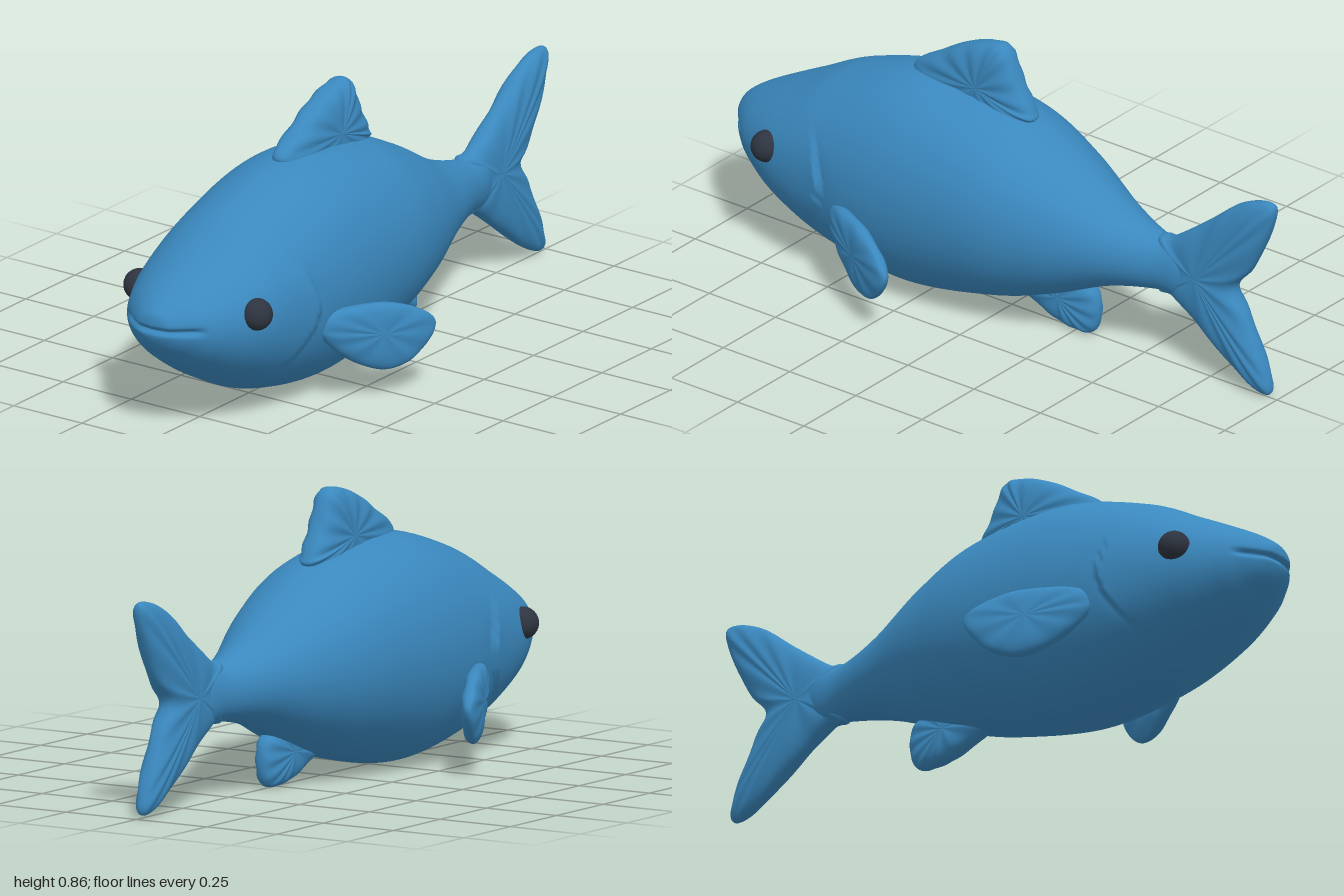
import * as THREE from 'three';

const skin = new THREE.MeshStandardMaterial({ color: 0x3a88be });
skin.name = 'blue skin';
const dark = new THREE.MeshStandardMaterial({ color: 0x2e3440 });
dark.name = 'dark eye';

// Closed smooth surface from rings; pointAt(u, v) with v running around each ring.
function ringSurface(rings, sides, pointAt) {
  const pos = [], index = [];
  for (let i = 0; i <= rings; i++) {
    for (let j = 0; j < sides; j++) {
      pos.push(...pointAt(i / rings, j / sides));
      if (i === rings) continue;
      const k = (j + 1) % sides;
      const a = i * sides + j, b = i * sides + k;
      index.push(a, a + sides, b, b, a + sides, b + sides);
    }
  }
  const geo = new THREE.BufferGeometry();
  geo.setAttribute('position', new THREE.Float32BufferAttribute(pos, 3));
  geo.setIndex(index);
  geo.computeVertexNormals();
  return geo;
}

function addMesh(group, name, geo, mat) {
  const mesh = new THREE.Mesh(geo, mat);
  mesh.name = name;
  group.add(mesh);
  return mesh;
}

// Body stations from snout to tail root: z, top, bottom, half width
const stations = [
  [1, 0.362, 0.345, 0], [0.992, 0.395, 0.315, 0.05], [0.97, 0.418, 0.28, 0.085],
  [0.93, 0.445, 0.245, 0.13], [0.87, 0.478, 0.195, 0.177], [0.75, 0.54, 0.12, 0.232],
  [0.57, 0.63, 0.04, 0.264], [0.3, 0.697, 0, 0.286], [0, 0.665, 0.05, 0.268],
  [-0.2, 0.582, 0.115, 0.217], [-0.4, 0.468, 0.2, 0.133], [-0.56, 0.415, 0.236, 0.072],
  [-0.66, 0.415, 0.24, 0.048], [-0.76, 0.35, 0.31, 0],
];

function bodyGeometry() {
  const spline = (f) => new THREE.CatmullRomCurve3(
    stations.map(f), false, 'catmullrom', 0.5);
  const heights = spline(([z, top, low]) => new THREE.Vector3(z, top, low));
  const widths = spline((s) => new THREE.Vector3(s[3], 0, 0));
  return ringSurface(260, 96, (u, v) => {
    const h = heights.getPoint(u), w = Math.max(widths.getPoint(u).x, 0);
    const a = v * Math.PI * 2;
    let x = w * Math.cos(a), z = h.x;
    const y = (h.y + h.z) / 2 + (h.y - h.z) / 2 * Math.sin(a);
    // gill cover: raised towards its curved rear edge, then a crease
    const d = z - (0.52 + 3 * (y - 0.34) ** 2);
    const fade = Math.exp(-(((y - 0.32) / 0.14) ** 4));
    const lift = d > 0 ? 0.013 * Math.exp(-d / 0.08) : -0.007 * Math.exp(d / 0.025);
    x += Math.sign(Math.cos(a)) * lift * fade * Math.abs(Math.cos(a));
    // mouth crease across the snout
    const mouth = Math.exp(-(((y - 0.348) / 0.009) ** 2))
      * THREE.MathUtils.smoothstep(z, 0.9, 0.95);
    x *= 1 - 0.06 * mouth;
    z -= 0.014 * mouth;
    return [x, y, z];
  });
}

// Padded fin: outline of [z, y] points around a centre, with soft rays.
// offset(z) places the fin's middle plane in x.
function finGeometry(outline, [cz, cy], thick, rays, offset = () => 0) {
  const curve = new THREE.CatmullRomCurve3(
    outline.map(([z, y]) => new THREE.Vector3(0, y, z)).reverse(), true, 'catmullrom', 0.5);
  return ringSurface(28, 96, (u, v) => {
    const p = curve.getPoint(v), phi = u * Math.PI;
    const s = Math.pow(Math.max(Math.sin(phi), 0), 0.6);
    const c = Math.cos(phi);
    const z = cz + (p.z - cz) * s, y = cy + (p.y - cy) * s;
    const rib = 1 + 0.09 * s * Math.cos(v * Math.PI * 2 * rays);
    const x = thick * rib * Math.sign(c) * Math.pow(Math.abs(c), 0.8);
    return [x + offset(z), y, z];
  });
}

export function createModel() {
  const fish = new THREE.Group();
  fish.name = 'fish';
  addMesh(fish, 'body', bodyGeometry(), skin);

  addMesh(fish, 'tailFin', finGeometry([
    [-0.56, 0.405], [-0.62, 0.43], [-0.75, 0.525], [-0.86, 0.612], [-0.95, 0.648],
    [-0.995, 0.638], [-0.98, 0.56], [-0.91, 0.41], [-0.85, 0.33], [-0.895, 0.24],
    [-0.96, 0.1], [-0.98, 0.025], [-0.95, 0.008], [-0.86, 0.055], [-0.72, 0.16],
    [-0.62, 0.23], [-0.56, 0.245],
  ], [-0.72, 0.33], 0.046, 14), skin);

  addMesh(fish, 'dorsalFin', finGeometry([
    [0.36, 0.69], [0.26, 0.77], [0.15, 0.832], [0.05, 0.86], [0.005, 0.842],
    [-0.035, 0.755], [-0.08, 0.67], [-0.08, 0.635], [0.02, 0.6], [0.2, 0.62],
  ], [0.1, 0.71], 0.054, 12), skin);

  addMesh(fish, 'analFin', finGeometry([
    [-0.04, 0.09], [-0.12, 0.18], [-0.24, 0.19], [-0.32, 0.145], [-0.333, 0.07],
    [-0.31, 0.01], [-0.25, 0.002], [-0.16, 0.022],
  ], [-0.2, 0.1], 0.04, 10), skin);

  // Paired side fins and eyes
  for (const [side, label] of [[1, 'left'], [-1, 'right']]) {
    addMesh(fish, label + 'PectoralFin', finGeometry([
      [0.485, 0.26], [0.46, 0.295], [0.38, 0.306], [0.28, 0.298], [0.19, 0.262],
      [0.143, 0.212], [0.175, 0.145], [0.23, 0.1], [0.3, 0.089], [0.38, 0.125],
      [0.44, 0.175], [0.48, 0.225],
    ], [0.32, 0.21], 0.034, 9, (z) => side * (0.255 + (0.48 - z) * 0.49)), skin);

    const eye = addMesh(fish, label + 'Eye', new THREE.SphereGeometry(0.049, 32, 20), dark);
    eye.position.set(side * 0.214, 0.374, 0.757);
  }
  return fish;
}
